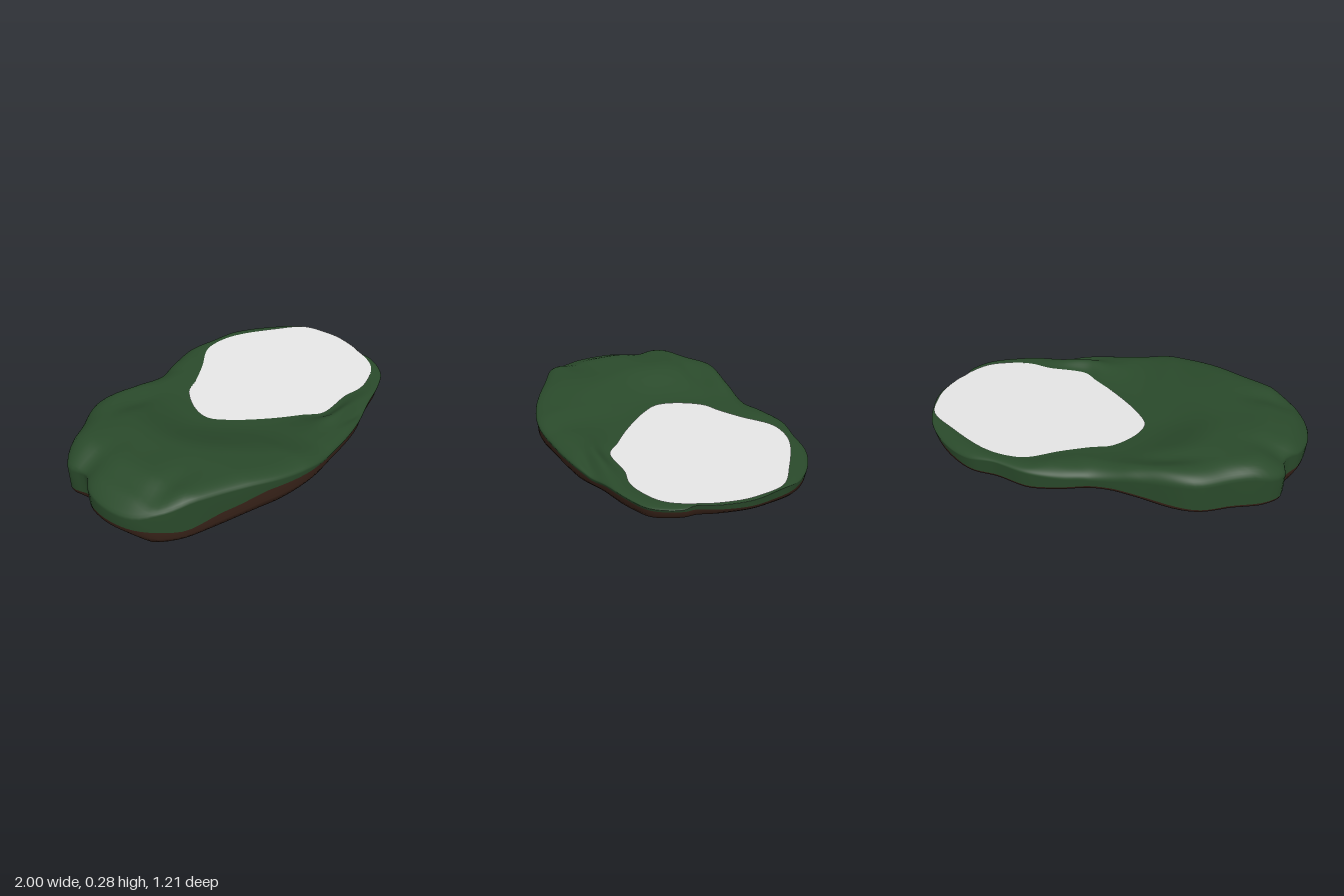
import * as THREE from 'three';

const N = 260, CX = 0.42, CZ = -0.08;

// Shore of the land and of the lake, as x,z pairs
const LAND = [-1, 0.02, -0.97, -0.13, -0.9, -0.22, -0.91, -0.33, -0.85, -0.4, -0.68, -0.48, -0.5, -0.57, -0.25, -0.56,
  0, -0.555, 0.15, -0.59, 0.32, -0.605, 0.5, -0.565, 0.65, -0.545, 0.8, -0.46, 0.93, -0.32, 0.98, -0.18, 1, -0.05,
  0.97, 0.1, 0.93, 0.19, 0.93, 0.25, 0.85, 0.37, 0.7, 0.44, 0.5, 0.49, 0.3, 0.55, 0, 0.59, -0.15, 0.598,
  -0.35, 0.55, -0.6, 0.43, -0.85, 0.3, -0.97, 0.17];
const LAKE = [-0.16, -0.08, -0.14, -0.18, -0.04, -0.31, 0.06, -0.35, 0.2, -0.42, 0.35, -0.51, 0.45, -0.52, 0.58, -0.49,
  0.8, -0.36, 0.95, -0.24, 0.985, -0.1, 0.985, 0, 0.93, 0.18, 0.84, 0.31, 0.7, 0.37, 0.6, 0.38, 0.5, 0.36,
  0.28, 0.355, 0.2, 0.29, 0.06, 0.18, -0.1, 0.02];

const smooth = THREE.MathUtils.smoothstep, lerp = THREE.MathUtils.lerp;

// Radius of a closed outline about the lake centre, for N even angles
function radii(flat) {
  const pts = [];
  for (let i = 0; i < flat.length; i += 2) pts.push(new THREE.Vector3(flat[i], 0, flat[i + 1]));
  const line = new THREE.CatmullRomCurve3(pts, true).getPoints(400);
  return Array.from({ length: N }, (_, k) => {
    const a = k / N * Math.PI * 2 + 0.001, c = Math.cos(a), s = Math.sin(a);
    let best = 0;
    for (let i = 0; i < line.length - 1; i++) {
      const ax = line[i].x - CX, az = line[i].z - CZ, bx = line[i + 1].x - CX, bz = line[i + 1].z - CZ;
      const da = az * c - ax * s, db = bz * c - bx * s;
      if (da * db > 0 || da === db) continue;
      const t = da / (da - db);
      best = Math.max(best, lerp(ax, bx, t) * c + lerp(az, bz, t) * s);
    }
    return best;
  });
}

// Height along x, eased between the listed points
function along(x, table) {
  for (let i = 0; i < table.length - 1; i++) {
    const [x0, y0] = table[i], [x1, y1] = table[i + 1];
    if (x <= x1) {
      const t = THREE.MathUtils.clamp((x - x0) / (x1 - x0), 0, 1);
      return lerp(y0, y1, lerp(t, smooth(t, 0, 1), 0.5));
    }
  }
  return table[table.length - 1][1];
}
const CREST = [[-1, 0.2], [-0.9, 0.245], [-0.76, 0.285], [-0.5, 0.285], [-0.2, 0.262], [0, 0.232], [0.2, 0.22], [0.5, 0.205], [1, 0.178]];
const BASE = [[-0.97, 0.05], [-0.9, 0.005], [-0.8, 0], [-0.62, 0.008], [-0.4, 0.03], [-0.1, 0.062], [0.3, 0.058], [0.5, 0.075], [0.8, 0.085], [1, 0.12]];
const SEAM = [[-1, 0.1], [-0.8, 0.07], [-0.6, 0.12], [-0.4, 0.168], [0, 0.165], [0.2, 0.145], [0.5, 0.135], [1, 0.15]];

const dent = (x, z, cx, cz, wx, wz, h) => h * Math.exp(-(((x - cx) / wx) ** 2) - ((z - cz) / wz) ** 2);
const waterY = (x, z) => 0.183 - 0.045 * z;
const landY = (x, z) => along(x, CREST) - 0.03 * (z + Math.sqrt(z * z + 0.01))
  + dent(x, z, -0.35, -0.41, 0.16, 0.06, -0.025) + dent(x, z, 0.36, 0.49, 0.13, 0.03, -0.02)
  + dent(x, z, 0.32, 0.42, 0.14, 0.05, 0.022)
  + dent(x, z, -0.78, 0.2, 0.14, 0.06, -0.02) + dent(x, z, -0.83, -0.22, 0.12, 0.07, -0.02)
  + dent(x, z, -0.45, 0.02, 0.3, 0.16, -0.012);
const baseY = (x, z) => along(x, BASE)
  + 0.03 * smooth(Math.abs(z - 0.05), 0.15, 0.5) * (1 - smooth(x, -0.1, 0.7));
// How far the grass drapes down the back
const drape = (x, z) => smooth(-z, 0.1, 0.4) * (1 - smooth(x, 0.6, 0.9));

// Joins rings of N points, listed from the top centre outward and down
function loft(rings) {
  const pos = [], idx = [];
  rings.forEach(r => r.forEach(p => pos.push(...p)));
  for (let j = 0; j < rings.length - 1; j++) for (let i = 0; i < N; i++) {
    const a = j * N + i, b = j * N + (i + 1) % N, c = a + N, d = b + N;
    idx.push(a, b, c, b, d, c);
  }
  const g = new THREE.BufferGeometry();
  g.setAttribute('position', new THREE.Float32BufferAttribute(pos, 3));
  g.setIndex(idx);
  g.computeVertexNormals();
  return g;
}

export function createModel() {
  const group = new THREE.Group();
  const mat = (name, color, side) => {
    const m = new THREE.MeshStandardMaterial({ color, side });
    m.name = name;
    return m;
  };
  const grass = mat('grass green', 0x2a4a2b, THREE.FrontSide);
  const earth = mat('earth brown', 0x3a241a, THREE.FrontSide);
  const ice = mat('pale grey water', 0xefefef, THREE.DoubleSide);
  const land = radii(LAND), lake = radii(LAKE).map((r, i) => Math.min(r, land[i] - 0.006));

  const ring = (radius, height) => Array.from({ length: N }, (_, i) => {
    const a = i / N * Math.PI * 2 + 0.001, r = radius(i);
    const x = CX + r * Math.cos(a), z = CZ + r * Math.sin(a);
    return [x, height(x, z, i, r), z];
  });
  const add = (name, geometry, material) => {
    const m = new THREE.Mesh(geometry, material);
    m.name = name;
    group.add(m);
  };

  // Grass: shallow lake bed, slope up from the shore, rounded rim and lip
  const top = (x, z, i, r) => {
    const up = smooth(r - lake[i], 0, lerp(0.1, 0.4, smooth(-x, -0.25, 0.15)));
    const y = lerp(waterY(x, z) - 0.002, landY(x, z), up);
    const back = drape(x, z);
    const w = Math.min(lerp(0.12, 0.17, back), (land[i] - lake[i]) * 0.8);
    const k = Math.max(0, 1 - (land[i] - r) / w);
    return y - w * lerp(0.28, 0.42, back) * (1 - Math.sqrt(Math.max(0, 1 - k * k)));
  };
  const seam = (x, z, i) => Math.min(
    lerp(along(x, SEAM), baseY(x, z) + 0.03, drape(x, z)), top(x, z, i, land[i]) - 0.012);
  const turf = [0, 0.5, 0.9].map(s => ring(i => lake[i] * s, (x, z) => waterY(x, z) - 0.002 - 0.02 * (1 - s * s)));
  for (let j = 0; j <= 24; j++) {
    const t = 1 - (1 - j / 24) ** 1.6;
    turf.push(ring(i => lerp(lake[i], land[i], t), top));
  }
  const seamRadius = i => land[i] - 0.006;
  turf.push(ring(seamRadius, seam));
  add('grassTop', loft(turf), grass);

  // Earth: side wall below the grass, curving into the underside
  const footRadius = i => land[i] - 0.028;
  const foot = (x, z, i) => Math.min(baseY(x, z) + 0.006, seam(x, z, i) - 0.01);
  const soil = [ring(seamRadius, seam),
    ring(i => land[i] - 0.012, (x, z, i) => lerp(seam(x, z, i), foot(x, z, i), 0.6)), ring(footRadius, foot)];
  for (const s of [0.93, 0.85, 0.7, 0.55, 0.4, 0.2, 0]) soil.push(ring(i => footRadius(i) * s, baseY));
  add('earthBase', loft(soil), earth);

  // Lake: thin sheet lying on the grass
  const water = [0, 0.25, 0.5, 0.75, 1].map(s => ring(i => lake[i] * s, (x, z) => waterY(x, z) + 0.003));
  add('lakeSurface', loft(water), ice);

  return group;
}
